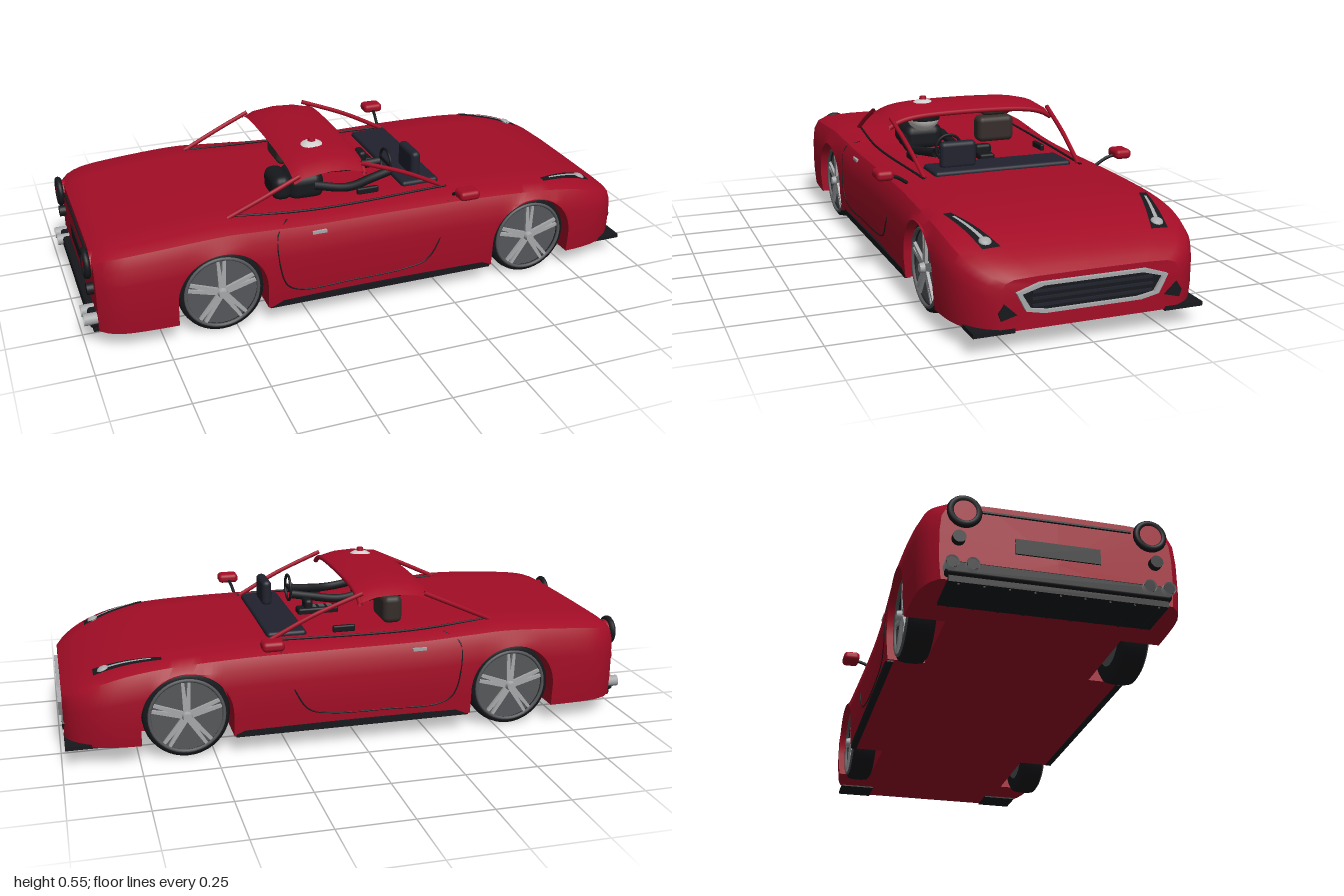
import * as THREE from 'three';
import { toCreasedNormals } from 'three/addons/utils/BufferGeometryUtils.js';
import { RoundedBoxGeometry } from 'three/addons/geometries/RoundedBoxGeometry.js';

const mat = (name, color, side = THREE.FrontSide) => {
  const m = new THREE.MeshStandardMaterial({ color, side });
  m.name = name;
  return m;
};
const red = mat('red paint', 0xa30d26, THREE.DoubleSide);
const black = mat('black trim', 0x17181c, THREE.DoubleSide);
const navy = mat('navy plastic', 0x20222e);
const silver = mat('silver', 0xa6a8aa, THREE.DoubleSide);
const grey = mat('wheel grey', 0x55575a);
const brown = mat('brown seat', 0x352d2a);
const white = mat('helmet white', 0xd2d0ce);

// Body outline: top height and half width along the length
const FLOOR = 0.065, ARCH = 0.153, HUB_Y = 0.147, WHEELS = [-0.55, 0.59];
const curve = (pts) => {
  const p = new THREE.SplineCurve(pts.map(([x, y]) => new THREE.Vector2(x, y))).getPoints(160);
  return (x) => {
    let i = 1;
    while (i < p.length - 1 && p[i].x < x) i++;
    const k = THREE.MathUtils.clamp((x - p[i - 1].x) / (p[i].x - p[i - 1].x), 0, 1);
    return p[i - 1].y + (p[i].y - p[i - 1].y) * k;
  };
};
const topY = curve([[-0.955, 0.325], [-0.91, 0.347], [-0.8, 0.362], [-0.55, 0.377], [-0.4, 0.37], [-0.2, 0.357],
  [0.1, 0.354], [0.35, 0.354], [0.6, 0.345], [0.75, 0.327], [0.86, 0.295], [0.94, 0.258], [0.985, 0.225]]);
const halfW = curve([[-0.955, 0.355], [-0.92, 0.385], [-0.83, 0.408], [-0.55, 0.414], [-0.1, 0.4], [0.25, 0.403],
  [0.6, 0.414], [0.78, 0.41], [0.88, 0.39], [0.95, 0.345], [0.985, 0.292]]);
// Cross-section: share of half width, share of height
const PROFILE = [[0.985, 0], [1, 0.25], [1, 0.6], [0.985, 0.8], [0.94, 0.92], [0.85, 0.975], [0.6, 0.995], [0, 1]];
const lookup = (v, from, to) => {
  for (let i = 1; i < PROFILE.length; i++) {
    const a = PROFILE[i - 1], b = PROFILE[i], d = b[from] - a[from];
    if (d !== 0 && (v - a[from]) * (v - b[from]) <= 0) return a[to] + (b[to] - a[to]) * (v - a[from]) / d;
  }
  return 1;
};
const sideZ = (x, y) => halfW(x) * lookup((y - FLOOR) / (topY(x) - FLOOR), 1, 0);
const deckY = (x, z) => FLOOR + (topY(x) - FLOOR) * lookup(Math.abs(z) / halfW(x), 0, 1);

// Grid of points joined into a surface
function loft(rows, caps = false) {
  const pos = rows.flat(2), idx = [], n = rows[0].length;
  for (let i = 0; i < rows.length - 1; i++) for (let j = 0; j < n - 1; j++) {
    const a = i * n + j, b = a + 1, c = b + n, d = a + n;
    idx.push(a, d, c, a, c, b);
  }
  if (caps) for (const [r, flip] of [[0, false], [rows.length - 1, true]]) {
    const c = pos.length / 3, o = r * n;
    pos.push(rows[r][0][0], 0.16, 0);
    for (let j = 0; j < n - 1; j++) idx.push(c, o + j + (flip ? 1 : 0), o + j + (flip ? 0 : 1));
  }
  const g = new THREE.BufferGeometry();
  g.setAttribute('position', new THREE.Float32BufferAttribute(pos, 3));
  g.setIndex(idx);
  return toCreasedNormals(g, 0.6);
}

function bodyGeometry() {
  const stations = [];
  const run = (a, b, n) => { for (let i = 0; i <= n; i++) stations.push([a + (b - a) * i / n, FLOOR]); };
  const arch = (c) => {
    for (let k = 0; k <= 24; k++) {
      const t = Math.PI * k / 24;
      stations.push([c - ARCH * Math.cos(t), HUB_Y + ARCH * Math.sin(t)]);
    }
  };
  run(-0.955, WHEELS[0] - ARCH, 10);
  arch(WHEELS[0]);
  run(WHEELS[0] + ARCH, WHEELS[1] - ARCH, 20);
  arch(WHEELS[1]);
  run(WHEELS[1] + ARCH, 0.985, 12);
  return loft(stations.map(([x, lo]) => {
    const w = halfW(x), h = topY(x) - FLOOR;
    const half = [[x, FLOOR, 0], [x, FLOOR, 0.28], [x, lo, 0.28],
      ...PROFILE.map(([a, t]) => [x, Math.max(lo, FLOOR + t * h), a * w])];
    return [...half, ...half.slice(0, -1).reverse().map(([px, y, z]) => [px, y, -z])];
  }), true);
}

export function createModel() {
  const car = new THREE.Group();
  car.name = 'car';
  const add = (name, geo, m, x = 0, y = 0, z = 0, parent = car) => {
    const o = new THREE.Mesh(geo, m);
    o.name = name;
    o.position.set(x, y, z);
    parent.add(o);
    return o;
  };
  const box = (name, m, sx, sy, sz, x, y, z, parent) => add(name, new THREE.BoxGeometry(sx, sy, sz), m, x, y, z, parent);
  const soft = (name, m, sx, sy, sz, x, y, z, r = 0.012) => add(name, new RoundedBoxGeometry(sx, sy, sz, 3, r), m, x, y, z);
  const tube = (name, m, pts, r, n = 24) => add(name,
    new THREE.TubeGeometry(new THREE.CatmullRomCurve3(pts.map((p) => new THREE.Vector3(...p))), n, r, 8), m);
  const disc = (name, m, r, len, x, y, z) => { // cylinder lying along x
    const o = add(name, new THREE.CylinderGeometry(r, r, len, 24), m, x, y, z);
    o.rotation.z = Math.PI / 2;
    return o;
  };

  add('body', bodyGeometry(), red);

  // Roof band arched across the cabin
  const roofRows = [[-0.27, 0.502], [-0.23, 0.521], [-0.15, 0.53], [-0.08, 0.526], [-0.02, 0.51]].map(([x, y]) =>
    Array.from({ length: 25 }, (_, j) => {
      const u = 1 - j / 12;
      return [x, y - 0.012 * u * u - 0.03 * Math.abs(u) ** 7, 0.315 * u];
    }));
  add('roof', loft(roofRows), red);
  tube('windscreenTopFrame', red, roofRows[4].map(([x, y, z]) => [x, y - 0.006, z]), 0.009, 40);

  // Wheel built facing +z
  const tyre = new THREE.LatheGeometry([[0.09, -0.045], [0.13, -0.045], [0.143, -0.035], [0.146, -0.015], [0.146, 0.02],
    [0.142, 0.037], [0.128, 0.042], [0.12, 0.036]].map(([r, y]) => new THREE.Vector2(r, y)), 40);
  const spoke = new THREE.Shape([[-0.012, 0.015], [0.012, 0.015], [0.016, 0.122], [0.006, 0.122], [0, 0.06], [-0.006, 0.122], [-0.016, 0.122]]
    .map(([x, y]) => new THREE.Vector2(x, y)));
  const spokeGeo = new THREE.ExtrudeGeometry(spoke, { depth: 0.01, bevelEnabled: false });
  for (const x of WHEELS) for (const s of [1, -1]) {
    const w = new THREE.Group();
    w.name = 'wheel';
    w.position.set(x, HUB_Y, s * 0.345);
    w.rotation.y = s > 0 ? 0 : Math.PI;
    car.add(w);
    add('tyre', tyre, black, 0, 0, 0, w).rotation.x = Math.PI / 2;
    add('rimDish', new THREE.CylinderGeometry(0.122, 0.122, 0.06, 36), grey, 0, 0, 0, w).rotation.x = Math.PI / 2;
    add('rimEdge', new THREE.TorusGeometry(0.124, 0.006, 8, 40), grey, 0, 0, 0.042, w);
    for (let k = 0; k < 5; k++) add('spoke', spokeGeo, silver, 0, 0, 0.034, w).rotation.z = k * Math.PI * 0.4;
    add('hub', new THREE.CylinderGeometry(0.014, 0.02, 0.03, 20), silver, 0, 0, 0.045, w).rotation.x = Math.PI / 2;
  }

  for (const s of [1, -1]) {
    // Roof pillars
    tube('frontPillar', red, [[0.29, 0.352, s * 0.285], [0.14, 0.43, s * 0.295], [-0.03, 0.498, s * 0.305]], 0.008);
    tube('rearPillar', red, [[-0.25, 0.485, s * 0.308], [-0.36, 0.435, s * 0.308], [-0.5, 0.37, s * 0.3]], 0.008);
    tube('cabinEdge', black, [[-0.5, 0.373, s * 0.295], [-0.2, 0.356, s * 0.312], [0.3, 0.353, s * 0.29]], 0.004);

    // Door seam, handle and sill
    tube('doorSeam', black, [[-0.31, 0.355], [-0.355, 0.325], [-0.355, 0.22], [-0.33, 0.14], [-0.28, 0.112], [-0.1, 0.108],
      [0.1, 0.114], [0.18, 0.135], [0.225, 0.2], [0.27, 0.335]].map(([x, y]) => [x, y, s * sideZ(x, y)]), 0.0025, 80);
    box('doorHandle', silver, 0.05, 0.01, 0.012, -0.21, 0.312, s * sideZ(-0.21, 0.312));
    box('sill', black, 0.82, 0.022, 0.02, 0.02, 0.071, s * 0.393);

    // Wing mirror
    soft('mirror', red, 0.075, 0.034, 0.06, 0.31, 0.385, s * 0.436, 0.014);
    tube('mirrorArm', black, [[0.3, 0.345, s * 0.35], [0.305, 0.368, s * 0.385], [0.31, 0.38, s * 0.42]], 0.006);

    // Headlight strip lying on the wing
    const strip = (name, m, half, lift, from, to) => add(name, loft(Array.from({ length: 13 }, (_, i) => {
      const t = from + (to - from) * i / 12, x = 0.66 + 0.22 * t;
      return [-1, -0.5, 0, 0.5, 1].map((u) => {
        const z = s * (0.337 - 0.06 * t) + u * half * (0.5 + 0.6 * t);
        return [x, deckY(x, z) + lift, z];
      }).reverse();
    })), m);
    strip('headlight', black, 0.026, 0.004, 0, 1);
    strip('headlightStrip', silver, 0.007, 0.007, 0.15, 0.8);
    const lamp = add('headlightLamp', new THREE.SphereGeometry(0.02, 20, 12), silver, 0.848, deckY(0.848, 0.285) + 0.003, s * 0.285);
    lamp.scale.y = 0.5;
    lamp.rotation.z = -0.4;

    // Front corner intake and splitter
    const intake = new THREE.Shape([[0.24, 0.115], [0.29, 0.102], [0.298, 0.125], [0.28, 0.152]].map(([z, y]) => new THREE.Vector2(-s * z, y)));
    add('cornerIntake', new THREE.ExtrudeGeometry(intake, { depth: 0.014, bevelEnabled: false }), black, 0.976).rotation.y = Math.PI / 2;
    box('splitter', black, 0.11, 0.014, 0.13, 0.932, 0.067, s * 0.31);

    // Tail lights and exhausts
    disc('tailLight', red, 0.04, 0.03, -0.962, 0.287, s * 0.285);
    add('tailLightRing', new THREE.TorusGeometry(0.042, 0.011, 10, 32), black, -0.97, 0.287, s * 0.285).rotation.y = Math.PI / 2;
    disc('lowerTailLight', black, 0.02, 0.03, -0.962, 0.2, s * 0.3);
    for (const z of [0.265, 0.325]) {
      const pipe = new THREE.CylinderGeometry(0.02, 0.02, 0.06, 20, 1, true);
      add('exhaustPipe', pipe, silver, -0.969, 0.102, s * z).rotation.z = Math.PI / 2;
      disc('exhaustBore', black, 0.017, 0.04, -0.974, 0.102, s * z);
    }
  }

  // Grille: framed opening with bars
  const outline = (k) => [[0.245, 0.183], [0.172, 0.207], [-0.172, 0.207], [-0.245, 0.183], [-0.215, 0.125], [-0.157, 0.113],
    [0.157, 0.113], [0.215, 0.125]].map(([z, y]) => new THREE.Vector2(z * (1 - k * 0.35), 0.16 + (y - 0.16) * (1 - k)));
  const frame = new THREE.Shape(outline(0));
  frame.holes.push(new THREE.Path(outline(0.2)));
  add('grilleFrame', new THREE.ExtrudeGeometry(frame, { depth: 0.016, bevelEnabled: false }), silver, 0.982).rotation.y = Math.PI / 2;
  add('grillePanel', new THREE.ExtrudeGeometry(new THREE.Shape(outline(0.1)), { depth: 0.008, bevelEnabled: false }), black, 0.98)
    .rotation.y = Math.PI / 2;
  for (let i = 0; i < 3; i++) box('grilleBar', navy, 0.008, 0.008, 0.39, 0.99, 0.138 + i * 0.021, 0);

  // Rear bumper, diffuser and number plate recess
  soft('rearBumper', black, 0.045, 0.045, 0.68, -0.958, 0.095, 0, 0.01);
  box('diffuser', black, 0.15, 0.02, 0.66, -0.895, 0.063, 0);
  for (let i = -4; i <= 4; i++) box('diffuserFin', black, 0.14, 0.016, 0.006, -0.895, 0.056, i * 0.075);
  box('plateRecess', black, 0.008, 0.05, 0.26, -0.956, 0.2, 0);
  box('rearTrim', black, 0.008, 0.006, 0.46, -0.958, 0.3, 0);

  // Dashboard, instrument pod, console and steering wheel
  soft('dashboard', navy, 0.14, 0.03, 0.503, 0.222, 0.353, -0.005);
  soft('instrumentPod', navy, 0.036, 0.095, 0.13, 0.222, 0.408, 0.143, 0.016);
  soft('console', black, 0.15, 0.03, 0.055, 0.055, 0.36, -0.005, 0.008);
  for (let i = 0; i < 3; i++) box('consoleButton', grey, 0.02, 0.004, 0.028, 0.01 + i * 0.03, 0.376, -0.005);
  soft('gearLever', black, 0.03, 0.04, 0.06, 0.09, 0.386, 0, 0.012);
  add('steeringWheel', new THREE.TorusGeometry(0.047, 0.005, 8, 32), black, 0.13, 0.41, 0.143).rotation.y = Math.PI / 2;
  box('steeringSpoke', black, 0.006, 0.012, 0.09, 0.13, 0.41, 0.143);
  for (const z of [-0.25, 0.245]) soft('doorPull', black, 0.08, 0.025, 0.016, 0.02, 0.362, z, 0.006);

  // Seats
  soft('driverSeat', black, 0.07, 0.09, 0.14, -0.275, 0.395, 0.145, 0.03);
  soft('passengerSeat', brown, 0.07, 0.1, 0.145, -0.17, 0.402, -0.145, 0.022);
  soft('passengerHeadrest', brown, 0.05, 0.036, 0.098, -0.175, 0.471, -0.145, 0.014);

  // Driver
  soft('driverTorso', black, 0.13, 0.1, 0.15, -0.19, 0.39, 0.145, 0.035);
  for (const s of [1, -1]) tube('driverArm', black, [[-0.17, 0.4, 0.145 + s * 0.075], [-0.05, 0.378, 0.145 + s * 0.085],
    [0.05, 0.385, 0.145 + s * 0.06], [0.125, 0.395, 0.145 + s * 0.045]], 0.016);
  const helmet = add('helmet', new THREE.SphereGeometry(0.062, 32, 20), white, -0.15, 0.476, 0.145);
  helmet.scale.set(1, 0.98, 1);
  add('visor', new THREE.SphereGeometry(0.064, 24, 10, Math.PI - 0.95, 1.9, 1.05, 0.75), black, -0.15, 0.476, 0.145);
  add('helmetKnob', new THREE.CylinderGeometry(0.012, 0.014, 0.012, 16), red, -0.15, 0.54, 0.145);
  return car;
}
